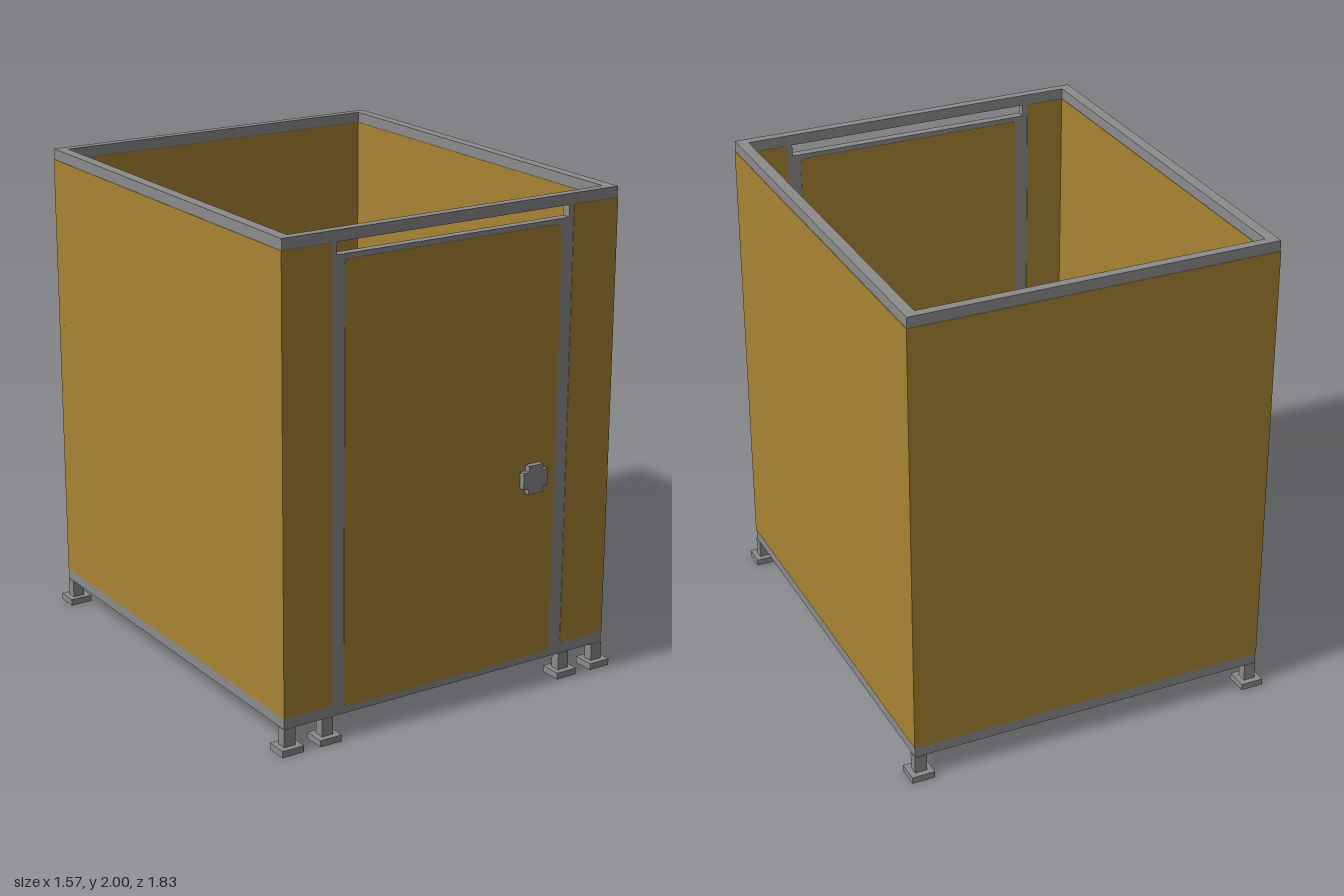
import * as THREE from 'three';

const frameGrey = new THREE.MeshStandardMaterial({ name: 'frameGrey', color: 0x8c8c8c });
const panelOchre = new THREE.MeshStandardMaterial({ name: 'panelOchre', color: 0xa88434 });

const SKIN = 0.002; // thickness of the coloured panel skins
const HALF_X = 0.76, HALF_Z = 0.89;
const SIDE_T = 0.05, FRONT_T = 0.042;
const BOTTOM = 0.1, TOP = 2;
const FRONT_MID = HALF_Z - FRONT_T / 2;

function box(name, x0, x1, y0, y1, z0, z1, material) {
  const mesh = new THREE.Mesh(new THREE.BoxGeometry(x1 - x0, y1 - y0, z1 - z0), material);
  mesh.position.set((x0 + x1) / 2, (y0 + y1) / 2, (z0 + z1) / 2);
  mesh.name = name;
  return mesh;
}

// Rectangle with separate corner radii on its left and right sides
function plateShape(x0, x1, y0, y1, rl, rr) {
  const s = new THREE.Shape();
  s.moveTo(x0 + rl, y0);
  s.lineTo(x1 - rr, y0);
  if (rr) s.quadraticCurveTo(x1, y0, x1, y0 + rr);
  s.lineTo(x1, y1 - rr);
  if (rr) s.quadraticCurveTo(x1, y1, x1 - rr, y1);
  s.lineTo(x0 + rl, y1);
  if (rl) s.quadraticCurveTo(x0, y1, x0, y1 - rl);
  s.lineTo(x0, y0 + rl);
  if (rl) s.quadraticCurveTo(x0, y0, x0 + rl, y0);
  return s;
}

// Grey slab centred on z = 0 with an ochre skin on both faces
function panel(name, slab, skin, thick, rl = 0, rr = 0) {
  const g = new THREE.Group();
  g.name = name;
  const h = thick / 2;
  g.add(box(name + 'Frame', ...slab, -h + SKIN, h - SKIN, frameGrey));
  const geo = new THREE.ExtrudeGeometry(plateShape(...skin, rl, rr),
    { depth: SKIN, bevelEnabled: false, curveSegments: 4 });
  for (const [label, z] of [['OuterSkin', h - SKIN], ['InnerSkin', -h]]) {
    const mesh = new THREE.Mesh(geo, panelOchre);
    mesh.name = name + label;
    mesh.position.z = z;
    g.add(mesh);
  }
  return g;
}

// Square leg on a flat foot plate
function leg(name, x, z) {
  const g = new THREE.Group();
  g.name = name;
  g.add(box('legPost', -0.025, 0.025, 0.025, BOTTOM, -0.021, 0.021, frameGrey));
  g.add(box('footPlate', -0.048, 0.048, 0, 0.027, -0.045, 0.045, frameGrey));
  g.position.set(x, 0, z);
  return g;
}

// Plus-shaped knob outline
function plusShape(r, a) {
  const pts = [[a, r], [-a, r], [-a, a], [-r, a], [-r, -a], [-a, -a],
    [-a, -r], [a, -r], [a, -a], [r, -a], [r, a], [a, a]];
  return new THREE.Shape(pts.map(([x, y]) => new THREE.Vector2(x, y)));
}

export function createModel() {
  const model = new THREE.Group();
  model.name = 'cubicle';

  // Side walls
  for (const s of [-1, 1]) {
    const wall = panel(s > 0 ? 'leftWall' : 'rightWall',
      [-HALF_Z + SKIN, HALF_Z - SKIN, BOTTOM, TOP],
      [-HALF_Z, HALF_Z, 0.145, 1.956], SIDE_T);
    wall.rotation.y = s * Math.PI / 2;
    wall.position.x = s * (HALF_X - SIDE_T / 2);
    model.add(wall);
  }

  // Back wall
  const back = panel('backWall', [-HALF_X + SKIN, HALF_X - SKIN, BOTTOM, TOP],
    [-HALF_X, HALF_X, 0.145, 1.956], FRONT_T);
  back.position.z = -FRONT_MID;
  model.add(back);

  // Front posts either side of the door
  const front = new THREE.Group();
  front.name = 'frontWall';
  front.position.z = FRONT_MID;
  front.add(panel('rightPilaster', [-HALF_X + SKIN, -0.525, BOTTOM, TOP],
    [-HALF_X, -0.547, 0.145, 1.956], FRONT_T, 0, 0.012));
  front.add(panel('leftPilaster', [0.525, HALF_X - SKIN, BOTTOM, TOP],
    [0.547, HALF_X, 0.145, 1.956], FRONT_T, 0.012, 0));

  // Door, with an open slot between it and the top rail
  front.add(panel('door', [-0.525, 0.525, BOTTOM, 1.908],
    [-0.491, 0.491, 0.127, 1.888], FRONT_T, 0.02, 0.02));
  front.add(box('topRail', -0.525, 0.525, 1.956, TOP,
    -FRONT_T / 2 + SKIN, FRONT_T / 2 - SKIN, frameGrey));

  // Door knobs on both faces, and the inner latch
  const knobGeo = new THREE.ExtrudeGeometry(plusShape(0.059, 0.034), { depth: 0.024, bevelEnabled: false });
  for (const [name, z] of [['outerKnob', FRONT_T / 2], ['innerKnob', -FRONT_T / 2 - 0.024]]) {
    const knob = new THREE.Mesh(knobGeo, frameGrey);
    knob.name = name;
    knob.position.set(0.382, 0.886, z);
    front.add(knob);
  }
  front.add(box('latch', 0.37, 0.394, 0.856, 0.916, -FRONT_T / 2 - 0.046, -FRONT_T / 2 - 0.024, frameGrey));
  model.add(front);

  // Legs: one at each corner, one under each front pilaster's inner end
  for (const s of [-1, 1]) {
    const side = s > 0 ? 'Left' : 'Right';
    model.add(leg('front' + side + 'Leg', s * 0.735, FRONT_MID));
    model.add(leg('back' + side + 'Leg', s * 0.735, -FRONT_MID));
    model.add(leg('door' + side + 'Leg', s * 0.566, FRONT_MID));
  }
  return model;
}
